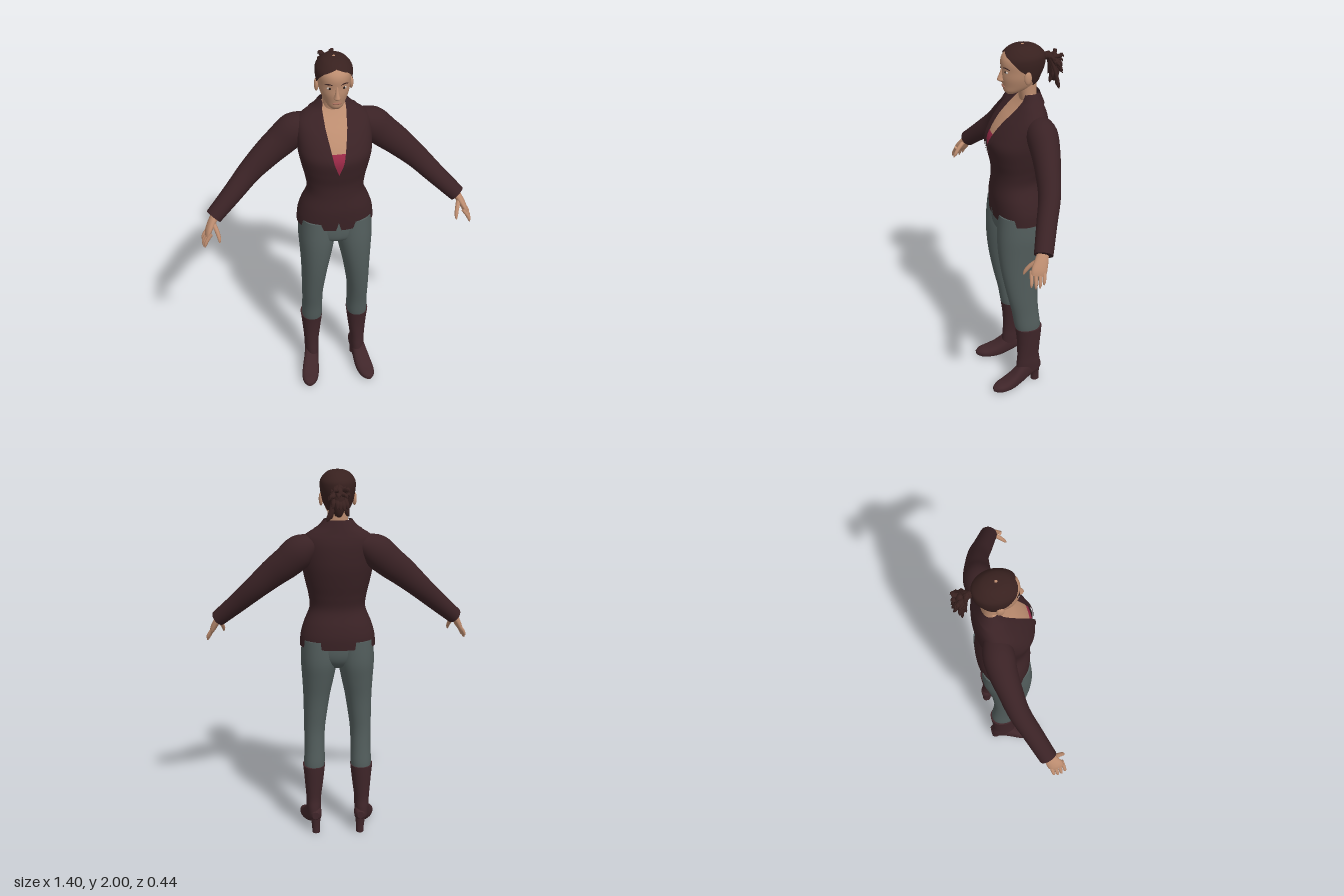
import * as THREE from 'three';

const V = (x, y, z) => new THREE.Vector3(x, y, z);
const mat = (name, color, side = THREE.FrontSide) => new THREE.MeshStandardMaterial({ name, color, side });

// Smoothly subdivides a short table of cross-section rows.
function resample(rows, k) {
  const out = [];
  const at = i => rows[Math.max(0, Math.min(rows.length - 1, i))];
  for (let i = 0; i < rows.length - 1; i++) {
    for (let s = 0; s < k; s++) {
      const t = s / k;
      out.push(rows[i].map((b, j) => {
        const a = at(i - 1)[j], c = at(i + 1)[j], d = at(i + 2)[j];
        return b + 0.5 * t * (c - a + t * (2 * a - 5 * b + 4 * c - d + t * (3 * (b - c) + d - a)));
      }));
    }
  }
  out.push(rows[rows.length - 1]);
  return out;
}

// Linear lookup in a table of [y, value].
function lookup(table, y) {
  if (y <= table[0][0]) return table[0][1];
  for (let i = 1; i < table.length; i++) {
    const [y0, v0] = table[i - 1], [y1, v1] = table[i];
    if (y <= y1) return v0 + (v1 - v0) * (y - y0) / (y1 - y0);
  }
  return table[table.length - 1][1];
}

// Rings: level rows [y, x, halfWidth, zFront, zBack]; angle 0 faces the front.
const levels = (rows, k = 4, grow = 0, p = 2.2) => resample(rows, k).map(([y, x, rx, zf, zb]) => ({
  c: V(x, y, (zf + zb) / 2), u: V(0, 0, (zf - zb) / 2 + grow), v: V(rx + grow, 0, 0), p }));

// Rings: upright rows along z [z, x, halfWidth, yTop, yBottom].
const upright = (rows, k = 4) => resample(rows, k).map(([z, x, w, yt, yb]) => ({
  c: V(x, (yt + yb) / 2, z), u: V(w, 0, 0), v: V(0, (yt - yb) / 2, 0), p: 2.5 }));

// Rings: rows along a bent path [x, y, z, radiusA, radiusB].
function bent(rows, ref, k = 4) {
  const pts = resample(rows, k);
  return pts.map(([x, y, z, ra, rb], i) => {
    const a = pts[Math.max(0, i - 1)], b = pts[Math.min(pts.length - 1, i + 1)];
    const w = V(b[0] - a[0], b[1] - a[1], b[2] - a[2]).normalize();
    const u = ref.clone().addScaledVector(w, -ref.dot(w)).normalize();
    return { c: V(x, y, z), u: u.clone().multiplyScalar(ra), v: w.cross(u).multiplyScalar(rb), p: 2 };
  });
}

// Skin over rings; with a range function it is an open sheet, otherwise closed and capped.
function loft(rings, seg = 28, range = null) {
  const pos = [], idx = [], cols = range ? seg + 1 : seg;
  const point = (r, t) => {
    const f = n => Math.sign(n) * Math.abs(n) ** (2 / r.p);
    return r.c.clone().addScaledVector(r.u, f(Math.cos(t))).addScaledVector(r.v, f(Math.sin(t)));
  };
  const ringPoints = r => {
    const [a, b] = range ? range(r) : [0, Math.PI * 2];
    return Array.from({ length: cols }, (_, j) => point(r, a + (b - a) * j / seg));
  };
  rings.forEach((r, i) => {
    ringPoints(r).forEach(q => pos.push(q.x, q.y, q.z));
    if (i) for (let j = 0; j < seg; j++) {
      const n = (j + 1) % cols, a = (i - 1) * cols, b = i * cols;
      idx.push(a + j, a + n, b + j, a + n, b + n, b + j);
    }
  });
  if (!range) [rings[0], rings[rings.length - 1]].forEach((r, end) => {
    const o = pos.length / 3;
    [r.c, ...ringPoints(r)].forEach(q => pos.push(q.x, q.y, q.z));
    for (let j = 0; j < seg; j++) {
      const a = o + 1 + j, b = o + 1 + (j + 1) % seg;
      idx.push(o, end ? a : b, end ? b : a);
    }
  });
  const g = new THREE.BufferGeometry();
  g.setAttribute('position', new THREE.Float32BufferAttribute(pos, 3));
  g.setIndex(idx);
  g.computeVertexNormals();
  return g;
}

const blob = (x, y, z, rx, ry, rz) => new THREE.SphereGeometry(1, 20, 14).scale(rx, ry, rz).translate(x, y, z);

function mirrored(geo) {
  const g = geo.clone().scale(-1, 1, 1), a = g.index.array;
  for (let i = 0; i < a.length; i += 3) [a[i], a[i + 1]] = [a[i + 1], a[i]];
  g.computeVertexNormals();
  return g;
}

export function createModel() {
  const model = new THREE.Group();
  model.name = 'standingWoman';
  const jacket = mat('jacketBrown', 0x3a2225, THREE.DoubleSide);
  const hair = mat('hairBrown', 0x38211f, THREE.DoubleSide);
  const skin = mat('skin', 0xbd8d70);
  const lip = mat('lips', 0xa56e5c);
  const grey = mat('trouserGrey', 0x525d5c);
  const boot = mat('bootBrown', 0x40262a);
  const red = mat('camisoleRed', 0x9c2a48);
  const white = mat('eyeWhite', 0xc9bdb4);
  const dark = mat('eyeDark', 0x1c1412);
  const add = (name, geo, m) => {
    const mesh = new THREE.Mesh(geo, m);
    mesh.name = name;
    model.add(mesh);
  };
  const pair = (name, geo, m) => {
    add(name + 'Left', geo, m);
    add(name + 'Right', mirrored(geo), m);
  };

  // Jacket body, open in a V at the neck and a small notch at the hem
  const torso = [
    [1.08, 0, 0.2, 0.157, -0.117], [1.14, 0, 0.195, 0.16, -0.117], [1.2, 0, 0.178, 0.16, -0.105],
    [1.28, 0, 0.147, 0.152, -0.08], [1.35, 0, 0.152, 0.152, -0.09], [1.42, 0, 0.168, 0.165, -0.107],
    [1.5, 0, 0.184, 0.175, -0.123], [1.56, 0, 0.188, 0.15, -0.127], [1.62, 0, 0.188, 0.105, -0.125],
    [1.66, 0, 0.18, 0.065, -0.117], [1.69, 0, 0.148, 0.035, -0.107], [1.72, 0, 0.095, 0.012, -0.097],
    [1.755, 0, 0.064, 0.0, -0.085]];
  const vee = [[1.08, 0.014], [1.13, 0], [1.43, 0], [1.5, 0.024], [1.55, 0.034], [1.65, 0.054], [1.72, 0.06], [1.76, 0.055]];
  const angleAt = (r, x) => Math.asin(Math.min(0.98, x / r.v.x) ** (r.p / 2));
  const edge = r => angleAt(r, lookup(vee, r.c.y));
  const between = (rings, lo, hi) => rings.filter(r => r.c.y >= lo - 1e-6 && r.c.y <= hi + 1e-6);
  const around = r => [edge(r), Math.PI * 2 - edge(r)];
  add('jacketBody', loft(levels(torso, 8), 56, around), jacket);
  add('collar', loft(between(levels(torso, 8, 0.009), 1.705, 1.76), 48, around), jacket);
  const lapelWidth = [[1.43, 0], [1.55, 0.035], [1.66, 0.068], [1.675, 0.035], [1.69, 0.055], [1.72, 0.02]];
  pair('lapel', loft(between(levels(torso, 8, 0.007), 1.43, 1.72), 8,
    r => [edge(r), angleAt(r, lookup(vee, r.c.y) + lookup(lapelWidth, r.c.y))]), jacket);

  // Chest and camisole inside the V
  const inside = r => [-edge(r) - 0.15, edge(r) + 0.15];
  add('chest', loft(between(levels(torso, 8, -0.013), 1.42, 1.76), 16, inside), skin);
  add('camisole', loft(between(levels(torso, 8, -0.008), 1.42, 1.55), 16, inside), red);

  // Sleeves and hands
  const side = V(0, 0, 1);
  pair('sleeve', loft(bent([
    [0.12, 1.63, -0.04, 0.06, 0.052], [0.19, 1.595, -0.045, 0.077, 0.085], [0.26, 1.535, -0.04, 0.071, 0.082],
    [0.335, 1.475, -0.025, 0.062, 0.074], [0.43, 1.39, 0, 0.054, 0.061], [0.52, 1.305, 0.045, 0.05, 0.052],
    [0.63, 1.205, 0.1, 0.046, 0.043]], side)), jacket);
  pair('palm', loft(bent([
    [0.615, 1.22, 0.095, 0.027, 0.023], [0.643, 1.18, 0.115, 0.034, 0.019],
    [0.662, 1.145, 0.132, 0.039, 0.016], [0.672, 1.122, 0.14, 0.034, 0.01]], side), 16), skin);
  for (let i = 0; i < 4; i++) {
    const z = 0.108 + i * 0.02, len = [0.8, 0.97, 1, 0.9][i], x = 0.672 - i * 0.004;
    pair('finger' + (i + 1), loft(bent([
      [x - 0.01, 1.145, z, 0.009, 0.009], [x + 0.014 * len, 1.145 - 0.035 * len, z + 0.006, 0.009, 0.009],
      [x + 0.026 * len, 1.145 - 0.06 * len, z + 0.01, 0.008, 0.008],
      [x + 0.03 * len, 1.145 - 0.077 * len, z + 0.012, 0.003, 0.003]], side, 3), 10), skin);
  }
  pair('thumb', loft(bent([
    [0.636, 1.185, 0.125, 0.013, 0.013], [0.62, 1.155, 0.16, 0.011, 0.011],
    [0.612, 1.125, 0.183, 0.009, 0.009], [0.612, 1.105, 0.193, 0.003, 0.003]], V(1, 0, 0), 3), 10), skin);

  // Trousers
  pair('trouserLeg', loft(levels([
    [0.38, 0.128, 0.054, 0.07, -0.066], [0.42, 0.127, 0.057, 0.078, -0.066], [0.5, 0.126, 0.055, 0.09, -0.057],
    [0.6, 0.125, 0.057, 0.112, -0.051], [0.7, 0.119, 0.064, 0.132, -0.058], [0.8, 0.112, 0.073, 0.148, -0.07],
    [0.9, 0.104, 0.086, 0.157, -0.09], [1.0, 0.098, 0.097, 0.158, -0.108], [1.12, 0.095, 0.094, 0.148, -0.106]])), grey);
  add('pelvis', loft(levels([[0.965, 0, 0.07, 0.09, -0.05], [1.0, 0, 0.13, 0.14, -0.085],
    [1.05, 0, 0.175, 0.15, -0.1], [1.13, 0, 0.18, 0.145, -0.1]])), grey);

  // Tall heeled boots, toes turned out a little
  pair('bootShaft', loft(levels([
    [0.1, 0.132, 0.037, 0.07, -0.071], [0.15, 0.133, 0.04, 0.066, -0.068], [0.2, 0.133, 0.041, 0.062, -0.061],
    [0.28, 0.131, 0.049, 0.062, -0.066], [0.35, 0.13, 0.056, 0.068, -0.072], [0.395, 0.13, 0.061, 0.074, -0.075]])), boot);
  pair('bootFoot', loft(upright([
    [-0.073, 0.124, 0.018, 0.13, 0.09], [-0.05, 0.126, 0.034, 0.15, 0.07], [0, 0.132, 0.039, 0.165, 0.045],
    [0.05, 0.142, 0.041, 0.135, 0.018], [0.1, 0.152, 0.047, 0.09, 0.004], [0.15, 0.161, 0.047, 0.062, 0.003],
    [0.19, 0.167, 0.037, 0.051, 0.004], [0.218, 0.171, 0.014, 0.036, 0.014]])), boot);
  pair('bootHeel', loft(levels([[0, 0.122, 0.021, -0.021, -0.067], [0.05, 0.123, 0.023, -0.018, -0.067],
    [0.11, 0.126, 0.033, 0.005, -0.072]]), 20), boot);

  // Neck and head
  add('neck', loft(levels([[1.64, 0, 0.06, -0.01, -0.085], [1.74, 0, 0.052, 0.008, -0.078], [1.83, 0, 0.055, 0.02, -0.08]])), skin);
  const skull = [
    [1.755, 0, 0.024, 0.072, 0.03], [1.772, 0, 0.043, 0.087, -0.025], [1.8, 0, 0.06, 0.091, -0.077],
    [1.84, 0, 0.074, 0.097, -0.097], [1.88, 0, 0.081, 0.097, -0.113], [1.92, 0, 0.085, 0.1, -0.119],
    [1.95, 0, 0.08, 0.09, -0.112], [1.98, 0, 0.056, 0.058, -0.08], [1.993, 0, 0.03, 0.025, -0.045],
    [1.997, 0, 0.001, -0.009, -0.011]];
  add('head', loft(levels(skull, 5, 0, 2), 40), skin);
  pair('ear', blob(0.085, 1.853, -0.01, 0.011, 0.034, 0.019), skin);
  add('nose', loft(levels([[1.82, 0, 0.011, 0.105, 0.07], [1.83, 0, 0.017, 0.119, 0.07],
    [1.842, 0, 0.013, 0.117, 0.07], [1.865, 0, 0.009, 0.107, 0.07], [1.895, 0, 0.007, 0.096, 0.07]]), 16), skin);
  add('mouth', blob(0, 1.795, 0.087, 0.023, 0.007, 0.008), lip);
  pair('eye', blob(0.034, 1.878, 0.082, 0.014, 0.006, 0.008), white);
  pair('iris', blob(0.034, 1.878, 0.087, 0.0065, 0.0058, 0.005), dark);
  pair('brow', loft(bent([[0.016, 1.896, 0.093, 0.003, 0.003], [0.036, 1.901, 0.089, 0.003, 0.003],
    [0.056, 1.895, 0.074, 0.002, 0.002]], V(0, 1, 0)), 8), hair);

  // Swept-back hair, with the hairline given as an angle from the front
  const hairline = [[1.775, 2.35], [1.82, 2.0], [1.865, 1.6], [1.89, 1.25], [1.92, 1.0], [1.945, 0.7], [1.962, 0.25], [1.968, 0]];
  add('hairCap', loft(between(levels(skull, 10, 0.006, 2), 1.775, 2), 48,
    r => [lookup(hairline, r.c.y), Math.PI * 2 - lookup(hairline, r.c.y)]).translate(0, 0.003, 0), hair);

  // Curly ponytail
  let seed = 7;
  const rand = () => (seed = (seed * 16807) % 2147483647) / 2147483647;
  add('ponytailCore', blob(0, 1.86, -0.175, 0.03, 0.075, 0.028), hair);
  for (let i = 0; i < 26; i++) {
    const a = i * 2.4, c = Math.cos(a), s = Math.sin(a), h = 1.78 + 0.16 * rand(), out = 0.035 + 0.02 * rand();
    add('ponytailStrand', loft(bent([
      [0, 1.918, -0.115, 0.013, 0.013], [c * 0.012, 1.922 + s * 0.01, -0.145, 0.011, 0.011],
      [c * 0.035, h + 0.04 * (1.9 - h) / 0.12, -0.175 + s * 0.022, 0.014, 0.01],
      [c * out, h, -0.178 + s * 0.03, 0.011, 0.008],
      [c * (out + 0.008), h - 0.014, -0.18 + s * 0.038, 0.001, 0.001]], V(1, 0.2, 0.1), 3), 7), hair);
  }
  return model;
}
